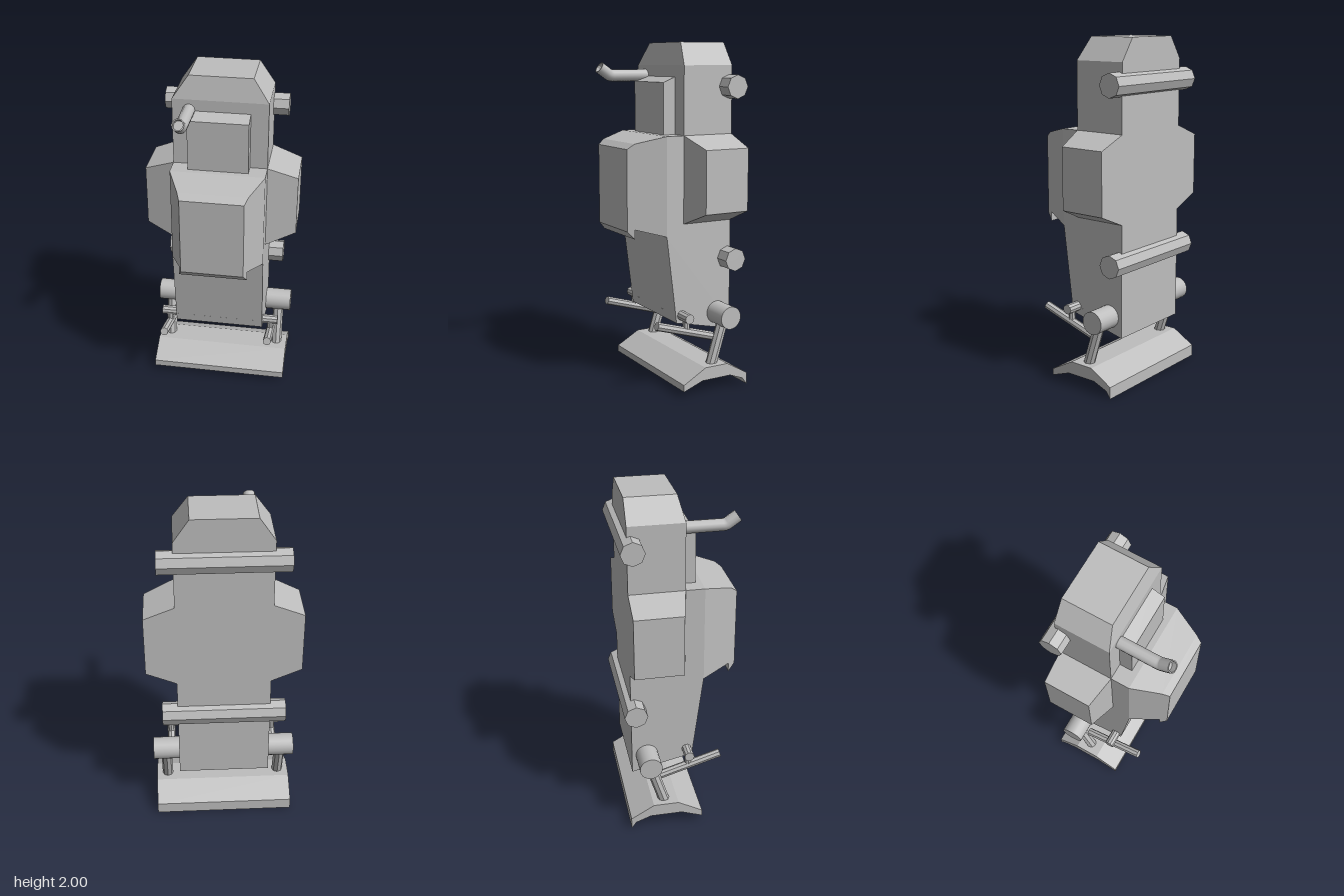
import * as THREE from 'three';

const grey = new THREE.MeshStandardMaterial({ color: 0xbebebe });
grey.name = 'grey';

function part(name, geometry) {
  const mesh = new THREE.Mesh(geometry, grey);
  mesh.name = name;
  return mesh;
}

function facet(geometry) {
  const g = geometry.index ? geometry.toNonIndexed() : geometry;
  g.computeVertexNormals();
  return g;
}

// Move every vertex by a rule, then recompute the flat normals
function reshape(geometry, rule) {
  const p = geometry.attributes.position;
  const v = new THREE.Vector3();
  for (let i = 0; i < p.count; i++) {
    rule(v.fromBufferAttribute(p, i));
    p.setXYZ(i, v.x, v.y, v.z);
  }
  return facet(geometry);
}

// Side profile of [z, y] points, extruded across x from x0 to x1
function sideProfile(points, x0, x1) {
  const shape = new THREE.Shape(points.map(([z, y]) => new THREE.Vector2(z, y)));
  const g = new THREE.ExtrudeGeometry(shape, { depth: x1 - x0, bevelEnabled: false });
  g.rotateY(-Math.PI / 2);
  return g.translate(x1, 0, 0);
}

// Round bar between two points
function bar(a, b, radius, sides, smooth = false) {
  const from = new THREE.Vector3(...a), to = new THREE.Vector3(...b);
  const dir = to.clone().sub(from);
  const g = new THREE.CylinderGeometry(radius, radius, dir.length(), sides);
  g.applyQuaternion(new THREE.Quaternion().setFromUnitVectors(new THREE.Vector3(0, 1, 0), dir.clone().normalize()));
  g.translate(...from.add(to).multiplyScalar(0.5).toArray());
  return smooth ? g : facet(g);
}

export function createModel() {
  const model = new THREE.Group();
  model.name = 'thrusterPack';
  const add = (name, g) => model.add(part(name, g));
  const back = -0.305, front = 0.015, half = 0.27;

  // Main body
  add('body', sideProfile([
    [back, 0.36], [0.066, 0.445], [0.125, 0.91], [0.125, 1.48],
    [front, 1.48], [front, 1.87], [back, 1.87],
  ], -half, half));

  // Sloping rim around the recessed underside
  const rect = (Type, x, y0, y1) => new Type([[-x, y0], [x, y0], [x, y1], [-x, y1]].map((p) => new THREE.Vector2(...p)));
  const rim = rect(THREE.Shape, half, -0.06, 0.305);
  rim.holes.push(rect(THREE.Path, 0.235, -0.025, 0.225));
  const rimGeometry = new THREE.ExtrudeGeometry(rim, { depth: 0.05, bevelEnabled: false });
  rimGeometry.rotateX(-Math.PI / 2);
  add('bottomRim', reshape(rimGeometry, (v) => {
    const slope = 0.31 + (v.z - back) * 0.233;
    if (v.z > 0.05) v.z += v.y * 0.126;
    v.y += slope;
  }));

  // Tapered top cap, flat at the back
  const cap = new THREE.BoxGeometry(2 * half, 0.13, front - back);
  cap.translate(0, 1.935, (front + back) / 2);
  add('topCap', reshape(cap, (v) => {
    if (v.y > 1.9) {
      v.x *= 0.18 / half;
      if (v.z > 0) v.z = -0.015;
    }
  }));

  // Chest block narrowing towards the front, with a lower lip
  const chest = sideProfile([
    [0.125, 0.91], [0.29, 0.955], [0.29, 0.9], [0.33, 0.945],
    [0.33, 1.41], [0.29, 1.44], [0.125, 1.48],
  ], -half, half);
  add('chestBlock', reshape(chest, (v) => { v.x *= 1 - (v.z - 0.125) / 0.205 / 3; }));

  // Raised panel above the chest
  add('upperPanel', sideProfile([[front, 1.48], [0.09, 1.48], [0.09, 1.775], [front, 1.805]], -0.175, 0.17));

  // Bent pipe with a hollow mouth
  const pipePath = new THREE.CurvePath();
  const bend = [[0, 1.81], [0.235, 1.81], [0.268, 1.82], [0.322, 1.857]]
    .map(([z, y]) => new THREE.Vector3(-0.175, y, z));
  pipePath.add(new THREE.LineCurve3(bend[0], bend[1]));
  pipePath.add(new THREE.QuadraticBezierCurve3(bend[1], new THREE.Vector3(-0.175, 1.81, 0.255), bend[2]));
  pipePath.add(new THREE.LineCurve3(bend[2], bend[3]));
  add('pipe', new THREE.TubeGeometry(pipePath, 40, 0.035, 12));
  const mouth = new THREE.LatheGeometry(
    [[0.035, 0], [0.028, 0], [0.028, -0.03], [0, -0.03]].map((p) => new THREE.Vector2(...p)), 12);
  mouth.applyQuaternion(new THREE.Quaternion().setFromUnitVectors(
    new THREE.Vector3(0, 1, 0), bend[3].clone().sub(bend[2]).normalize()));
  mouth.translate(...bend[3].toArray());
  add('pipeMouth', facet(mouth));

  // Crossbars on the back
  for (const [name, y] of [['upperCrossbar', 1.75], ['lowerCrossbar', 0.75]]) {
    const g = new THREE.CylinderGeometry(0.068, 0.068, 0.72, 8);
    g.rotateZ(Math.PI / 2);
    add(name, facet(g.translate(0, y, -0.286)));
  }

  // Parts repeated on both sides
  for (const [side, s] of [['left', 1], ['right', -1]]) {
    const pod = new THREE.BoxGeometry(0.175, 0.505, front - back);
    pod.translate(s * 0.3575, 1.2275, (front + back) / 2);
    add(side + 'Pod', reshape(pod, (v) => {
      if (Math.abs(v.x) > 0.4) {
        v.y = v.y > 1.2 ? 1.41 : 1.05;
        if (v.z > 0) v.z = -0.025;
      }
    }));
    add(side + 'Pivot', bar([s * 0.25, 0.425, -0.215], [s * 0.425, 0.425, -0.215], 0.067, 20, true));
    add(side + 'Strut', bar([s * 0.348, 0.42, -0.215], [s * 0.348, 0.13, -0.125], 0.033, 8));
    add(side + 'Peg', bar([s * 0.25, 0.437, 0.026], [s * 0.363, 0.437, 0.026], 0.029, 10));
    add(side + 'PegStem', bar([s * 0.318, 0.437, 0.026], [s * 0.318, 0.34, 0.026], 0.02, 8));
    add(side + 'HandleRod', bar([s * 0.318, 0.413, 0.22], [s * 0.318, 0.3, -0.15], 0.025, 8));
  }

  // Arched foot plate
  add('footPlate', sideProfile([
    [0.095, 0.03], [0.095, 0.07], [-0.05, 0.15], [-0.2, 0.15], [-0.338, 0.07],
    [-0.338, 0], [-0.31, 0.04], [-0.22, 0.075], [-0.03, 0.075],
  ], -0.415, 0.415));

  return model;
}
